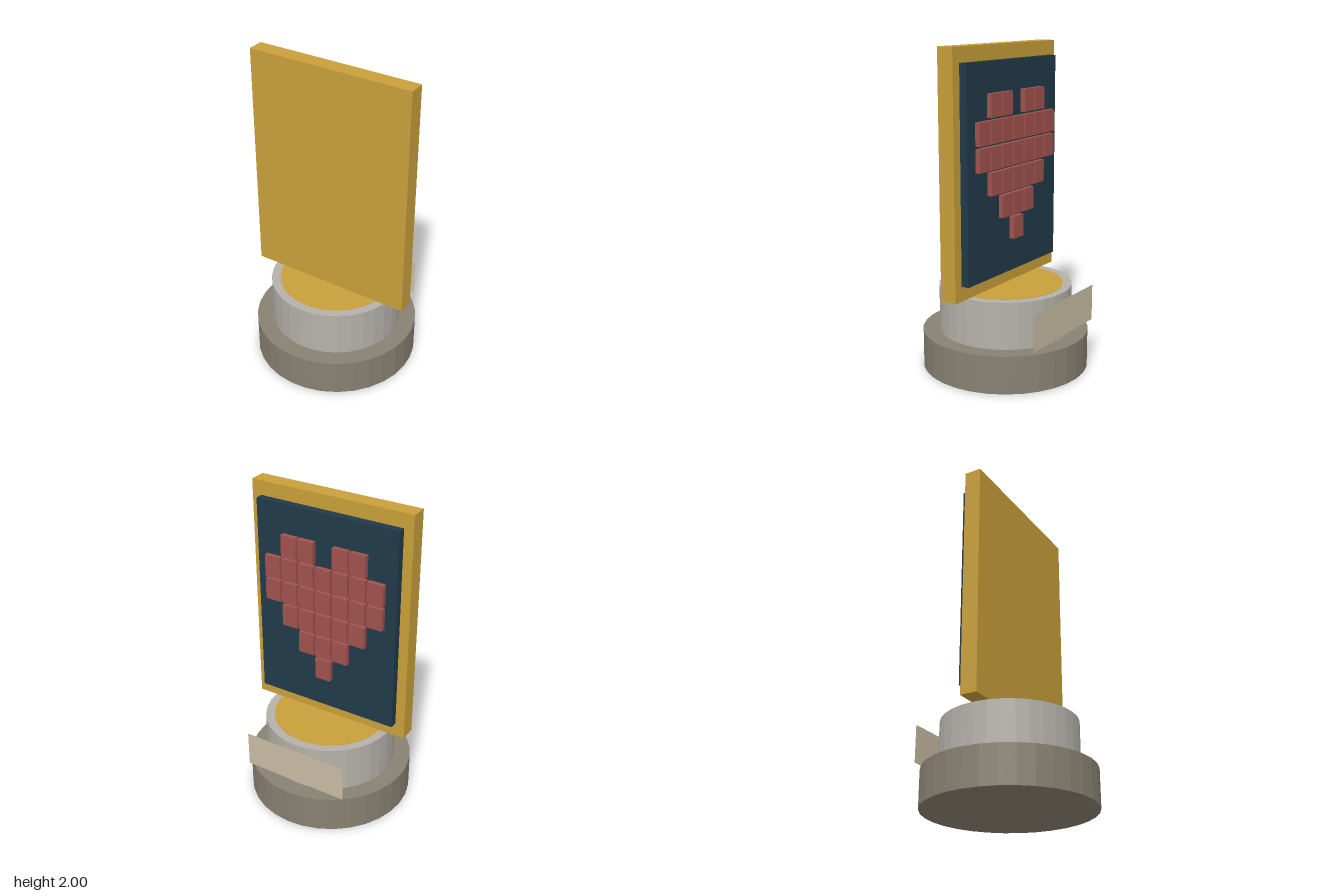
import * as THREE from 'three';

const flat = (name, color) => {
  const m = new THREE.MeshStandardMaterial({ color });
  m.name = name;
  return m;
};

export function createModel() {
  const group = new THREE.Group();
  const gold = flat('gold', 0xc9a03a);
  const navy = flat('navy', 0x213a4a);
  const red = flat('brick red', 0xa0524d);
  const silver = flat('silver', 0xb5b1aa);
  const stone = flat('stone', 0x888172);
  const cream = flat('cream', 0xc8bca4);
  cream.side = THREE.DoubleSide;

  const add = (name, geometry, material, x, y, z, parent = group) => {
    const mesh = new THREE.Mesh(geometry, material);
    mesh.name = name;
    mesh.position.set(x, y, z);
    parent.add(mesh);
    return mesh;
  };

  // faceted drum standing from y0 to y1
  const drum = (name, r, y0, y1, material) => {
    const g = new THREE.CylinderGeometry(r, r, y1 - y0, 32).toNonIndexed();
    g.computeVertexNormals();
    add(name, g, material, 0, (y0 + y1) / 2, 0);
  };

  // pedestal
  drum('base', 0.52, 0, 0.235, stone);
  drum('pedestal', 0.415, 0.235, 0.527, silver);
  drum('pedestalInlay', 0.36, 0.52, 0.529, gold);

  // blank name plate behind the pedestal
  add('namePlate', new THREE.PlaneGeometry(0.69, 0.23), cream, 0, 0.376, -0.43);

  // upright board and its dark panel on the back
  add('board', new THREE.BoxGeometry(1.064, 1.472, 0.105), gold, 0, 1.264, 0.041);
  add('panel', new THREE.BoxGeometry(0.942, 1.29, 0.05), navy, 0, 1.265, -0.036);

  // heart made of tiles, row by row from the top
  const heart = new THREE.Group();
  heart.name = 'heart';
  group.add(heart);
  const tile = new THREE.BoxGeometry(0.105, 0.138, 0.031);
  ['.##.##.', '#######', '#######', '.#####.', '..###..', '...#...'].forEach((row, r) => {
    [...row].forEach((c, i) => {
      if (c === '#') add('heartTile', tile, red, (i - 3) * 0.1163, 1.661 - r * 0.1527, -0.082, heart);
    });
  });

  return group;
}
